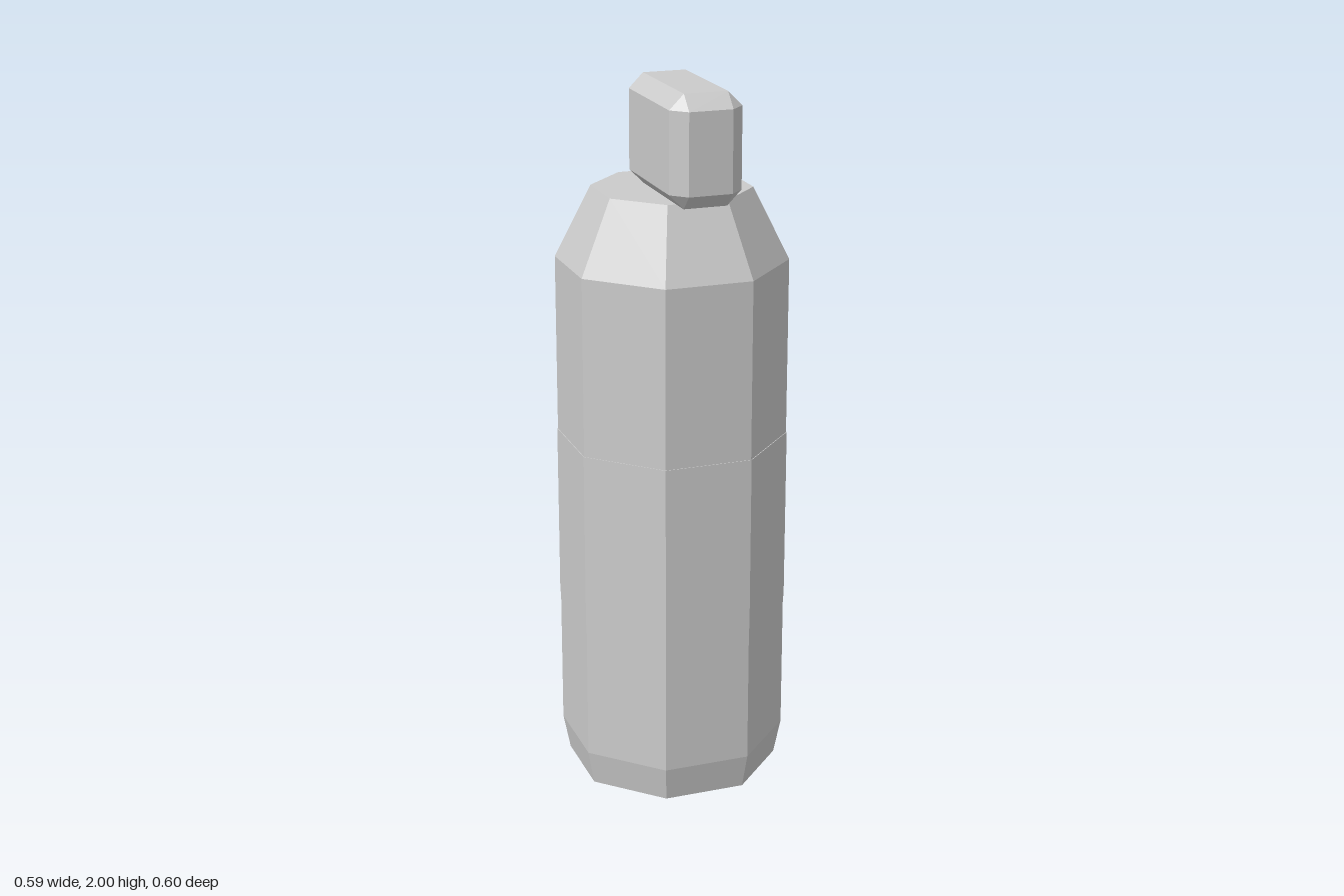
import * as THREE from 'three';
import { ConvexGeometry } from 'three/addons/geometries/ConvexGeometry.js';

const SIDES = 8;
const material = new THREE.MeshStandardMaterial({ color: 0xcccccc, flatShading: true });

function part(name, geometry) {
  const mesh = new THREE.Mesh(geometry, material);
  mesh.name = name;
  return mesh;
}

// Box with all edges cut at 45 degrees, centred on the origin
function chamferedBox(width, height, depth, cut) {
  const half = new THREE.Vector3(width / 2, height / 2, depth / 2);
  const points = [];
  for (const sx of [-1, 1]) for (const sy of [-1, 1]) for (const sz of [-1, 1]) {
    for (const axis of ['x', 'y', 'z']) {
      const p = half.clone().subScalar(cut);
      p[axis] += cut;
      points.push(p.multiply(new THREE.Vector3(sx, sy, sz)));
    }
  }
  return new ConvexGeometry(points);
}

export function createModel() {
  const model = new THREE.Group();
  model.name = 'bottle';

  // Octagonal body with tapered foot and shoulder, flats facing the axes
  const profile = [[0, 0], [0.3, 0], [0.32, 0.1], [0.32, 1.5], [0.22, 1.7], [0, 1.7]]
    .map(([r, y]) => new THREE.Vector2(r, y));
  model.add(part('body', new THREE.LatheGeometry(profile, SIDES).rotateY(Math.PI / SIDES)));

  // Thin band wrapped around the middle
  const band = new THREE.CylinderGeometry(0.322, 0.322, 0.5, SIDES);
  model.add(part('band', band.rotateY(Math.PI / SIDES).translate(0, 0.75, 0)));

  // Nozzle block on top, reaching forward
  model.add(part('nozzle', chamferedBox(0.2, 0.3, 0.4, 0.04).translate(0, 1.85, 0.1)));

  return model;
}
